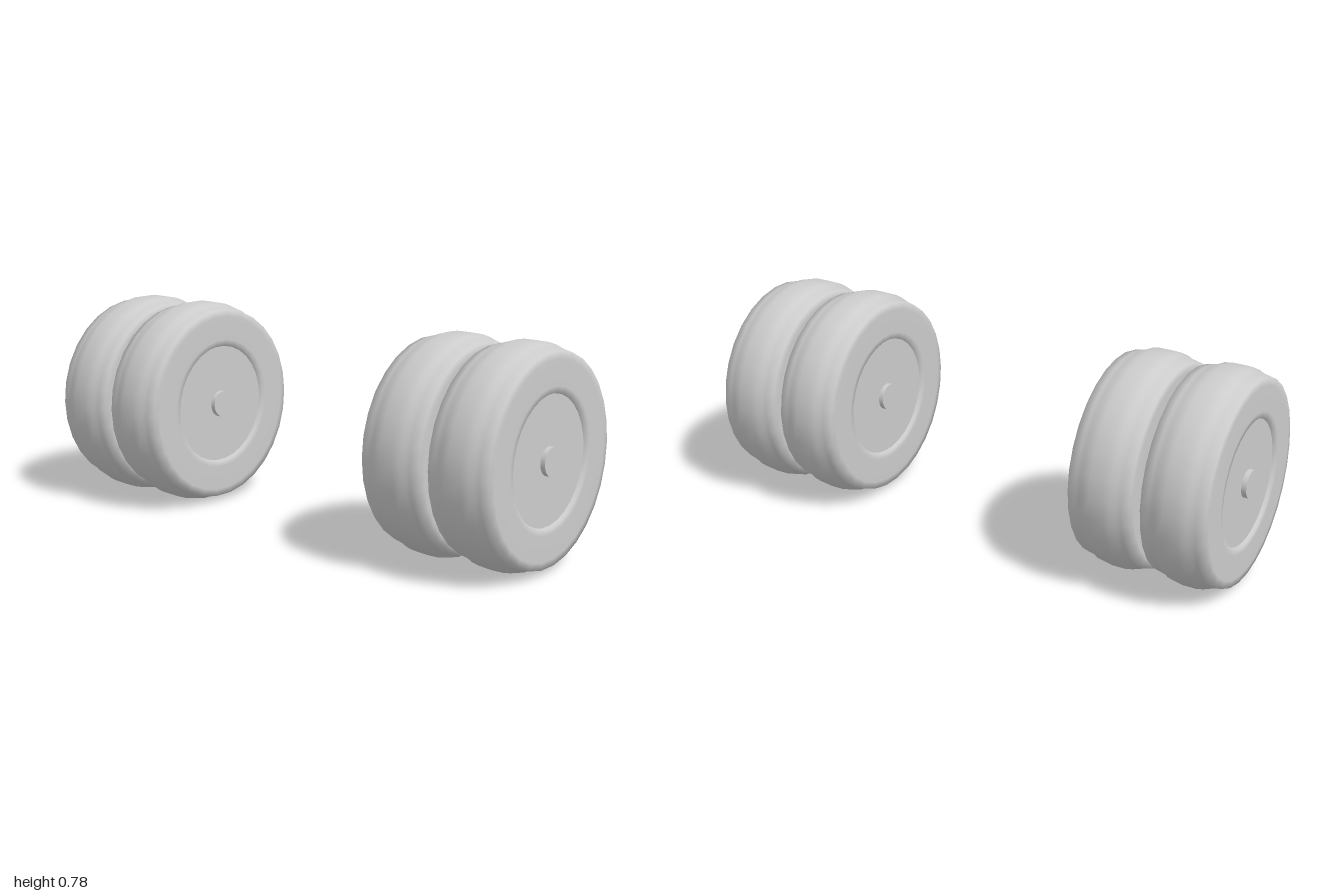
import * as THREE from 'three';

const RADIUS = 0.39;
const SIDES = 30;

// Mirrors half a profile [radius, offset] and turns it round the axle (x axis)
function turned(half) {
  const near = half.map(([r, w]) => new THREE.Vector2(r, -w));
  const far = half.map(([r, w]) => new THREE.Vector2(r, w)).reverse();
  return new THREE.LatheGeometry([...near, ...far], SIDES).rotateZ(Math.PI / 2);
}

export function createModel() {
  const model = new THREE.Group();
  model.name = 'twinWheels';
  const grey = new THREE.MeshStandardMaterial({ color: 0xcccccc });
  grey.name = 'lightGrey';

  // Tyre: recessed bead, flat wall, sloped shoulder, raised tread band
  const tyreGeometry = turned([
    [0.222, 0.1], [0.23, 0.117], [0.25, 0.118], [0.34, 0.118], [0.366, 0.116],
    [0.373, 0.085], [0.377, 0.066], [0.385, 0.052], [RADIUS, 0.025],
  ]);

  // Flat disc closing the wheel inside the bead
  const discGeometry = new THREE.CylinderGeometry(0.226, 0.226, 0.212, SIDES).rotateZ(Math.PI / 2);

  // Axle cap standing slightly proud on both faces
  const capGeometry = new THREE.CylinderGeometry(0.05, 0.05, 0.248, SIDES).rotateZ(Math.PI / 2);

  const parts = { tyre: tyreGeometry, wheelDisc: discGeometry, axleCap: capGeometry };

  // A pair of wheels on each side
  for (const side of [-1, 1]) {
    for (const [place, x] of [['inner', 0.608], ['outer', 0.876]]) {
      const wheel = new THREE.Group();
      wheel.name = `${place}Wheel${side > 0 ? 'Left' : 'Right'}`;
      for (const [name, geometry] of Object.entries(parts)) {
        const mesh = new THREE.Mesh(geometry, grey);
        mesh.name = name;
        wheel.add(mesh);
      }
      wheel.position.set(side * x, RADIUS, 0);
      model.add(wheel);
    }
  }
  return model;
}
